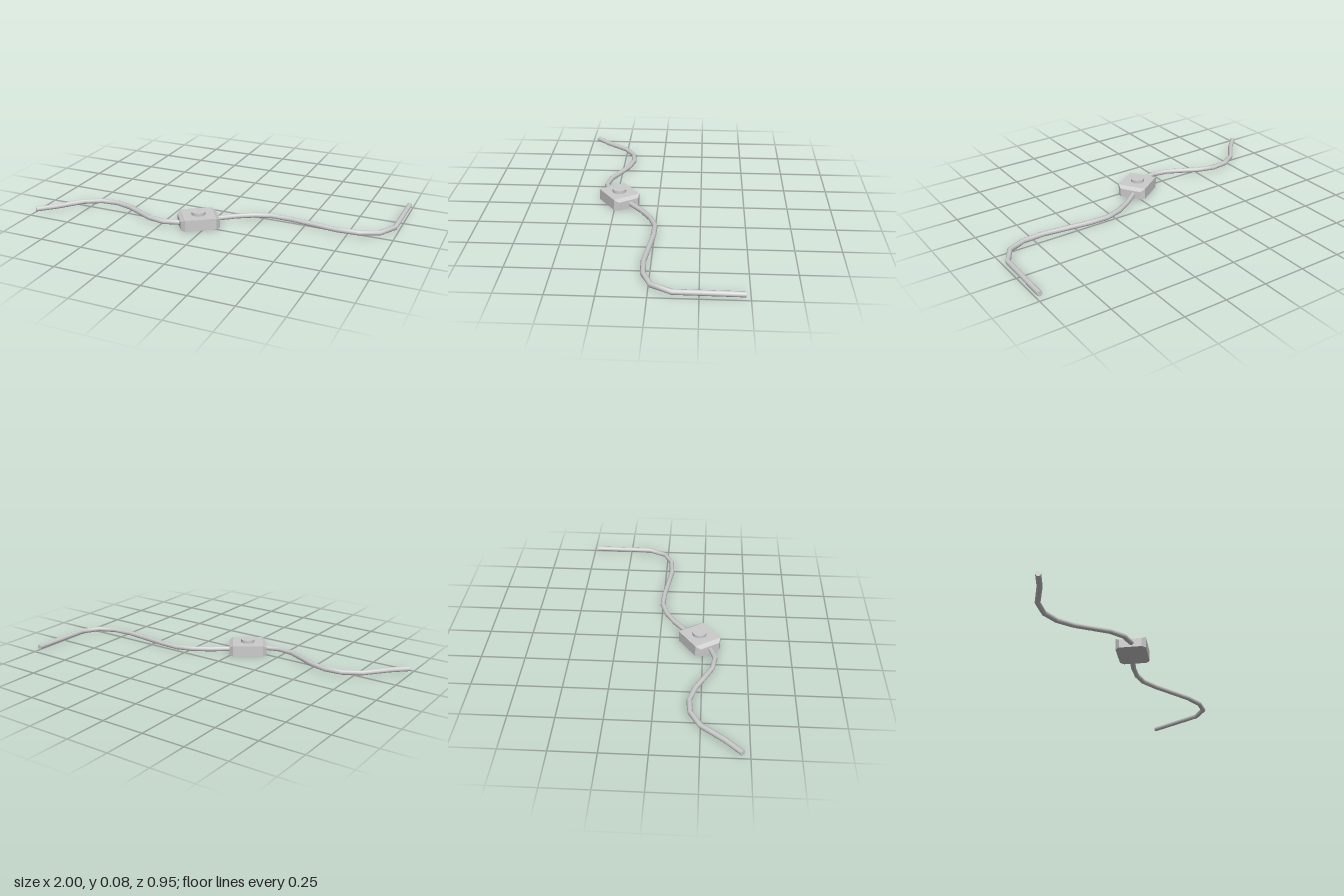
import * as THREE from 'three';
import { ConvexGeometry } from 'three/addons/geometries/ConvexGeometry.js';

const CABLE_RADIUS = 0.015, CABLE_Y = 0.025, SIDES = 8;

// Path of straight segments, sampled exactly at its corners
class SegmentPath extends THREE.Curve {
  constructor(points) {
    super();
    this.points = points.map(([x, z]) => new THREE.Vector3(x, CABLE_Y, z));
  }
  getPoint(t, target = new THREE.Vector3()) {
    const last = this.points.length - 1;
    const i = Math.min(Math.floor(t * last + 1e-9), last - 1);
    return target.lerpVectors(this.points[i], this.points[i + 1], t * last - i);
  }
  getPointAt(t, target) { return this.getPoint(t, target); }
  getTangentAt(t, target) { return this.getTangent(t, target); }
}

function makeCable(name, points, material) {
  const cable = new THREE.Group();
  cable.name = name;
  const path = new SegmentPath(points);
  const tube = new THREE.Mesh(new THREE.TubeGeometry(path, points.length - 1, CABLE_RADIUS, SIDES), material);
  tube.name = name + 'Tube';
  cable.add(tube);
  // Flat caps facing outwards at both ends
  for (const [t, sign] of [[0, -1], [1, 1]]) {
    const cap = new THREE.Mesh(new THREE.CircleGeometry(CABLE_RADIUS, SIDES), material);
    cap.name = name + 'EndCap';
    const position = path.getPoint(t);
    cap.position.copy(position);
    cap.lookAt(position.clone().addScaledVector(path.getTangentAt(t), sign));
    cable.add(cap);
  }
  return cable;
}

export function createModel() {
  const model = new THREE.Group();
  model.name = 'cableWithInlineSwitch';
  const smooth = new THREE.MeshStandardMaterial({ color: 0xcccccc });
  const flat = new THREE.MeshStandardMaterial({ color: 0xcccccc, flatShading: true });

  // Two lengths of cable, as [x, z] points, each running into the housing
  model.add(makeCable('rightCable', [
    [-0.986, 0.461], [-0.9, 0.378], [-0.797, 0.252], [-0.7, 0.196], [-0.6, 0.187], [-0.5, 0.214],
    [-0.41, 0.26], [-0.32, 0.305], [-0.225, 0.321], [-0.134, 0.294], [-0.11, 0.275],
  ], smooth));
  model.add(makeCable('leftCable', [
    [0.01, 0.175], [0.03, 0.155], [0.118, 0.085], [0.21, 0.03], [0.305, 0], [0.42, 0.003],
    [0.556, 0.02], [0.695, 0.037], [0.82, 0.03], [0.92, -0.015], [0.98, -0.12], [0.984, -0.475],
  ], smooth));

  // Switch, turned in line with the cable
  const inlineSwitch = new THREE.Group();
  inlineSwitch.name = 'inlineSwitch';
  inlineSwitch.position.set(-0.053, 0, 0.23);
  inlineSwitch.rotation.y = THREE.MathUtils.degToRad(34);
  model.add(inlineSwitch);

  // Housing with cut corners and sloped top edges at its two ends
  const halfLength = 0.11, halfWidth = 0.085, cut = 0.022, top = 0.065, endTop = 0.05;
  const corners = [];
  for (const sx of [-1, 1]) for (const sz of [-1, 1]) {
    for (const y of [0, top]) corners.push(new THREE.Vector3(sx * (halfLength - cut), y, sz * halfWidth));
    for (const y of [0, endTop]) corners.push(new THREE.Vector3(sx * halfLength, y, sz * (halfWidth - cut)));
  }
  const housing = new THREE.Mesh(new ConvexGeometry(corners), flat);
  housing.name = 'housing';
  inlineSwitch.add(housing);

  // Round push button
  const button = new THREE.Mesh(new THREE.CylinderGeometry(0.04, 0.04, 0.023, 24), smooth);
  button.name = 'button';
  button.position.y = 0.0715;
  inlineSwitch.add(button);

  return model;
}
